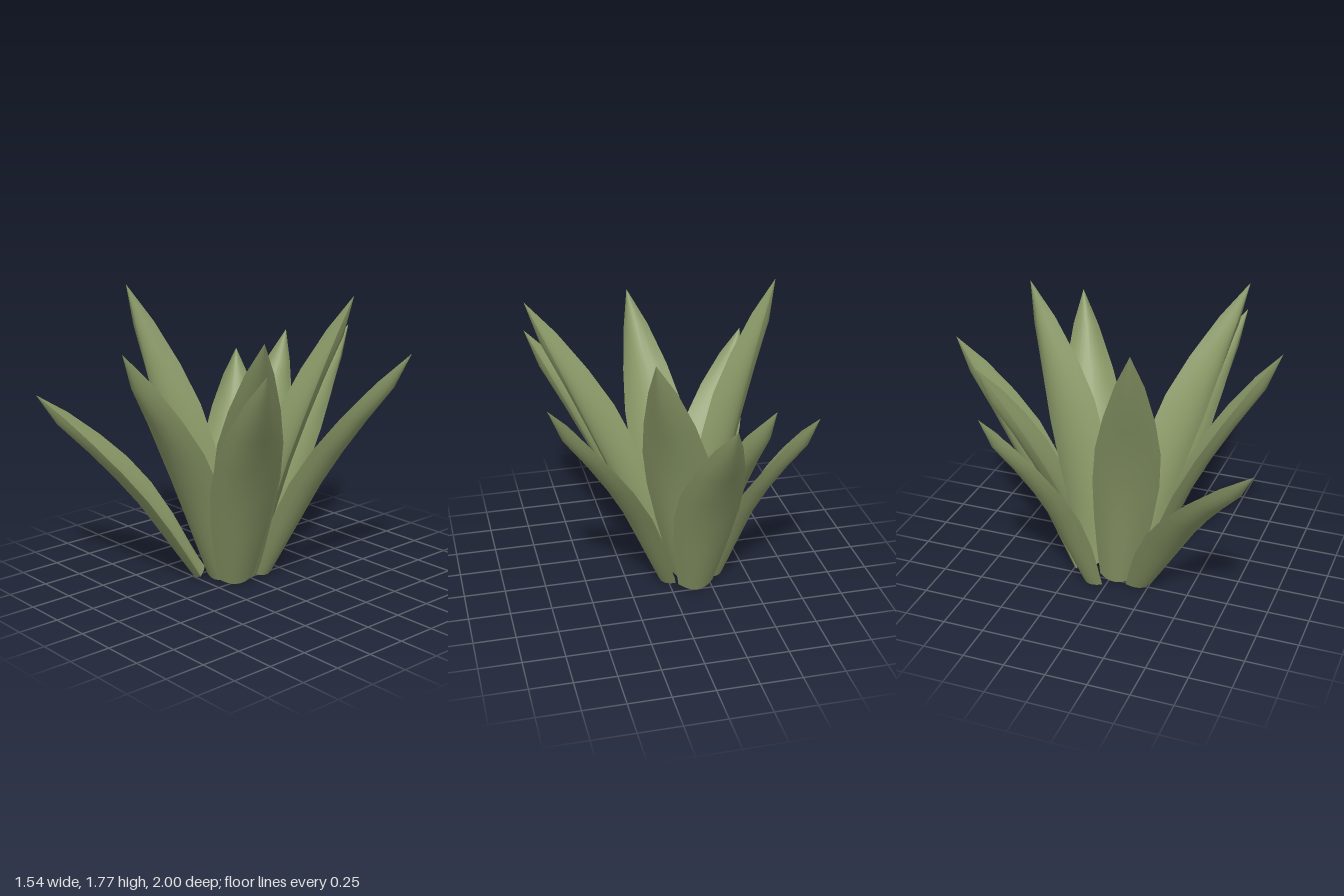
import * as THREE from 'three';

// Leaf stations: [position along leaf, half width, keel depth, inner depth, inward bow]
const STATIONS = [
  [0, 0.11, 0.055, -0.03, 0],
  [0.1, 0.14, 0.072, 0.005, 0.032],
  [0.24, 0.175, 0.09, 0.04, 0.073],
  [0.4, 0.198, 0.094, 0.054, 0.102],
  [0.55, 0.19, 0.094, 0.058, 0.104],
  [0.7, 0.147, 0.088, 0.058, 0.085],
  [0.86, 0.08, 0.078, 0.054, 0.05],
  [1, 0, 0, 0, 0],
];
const ACROSS = 8;
const ROOT_HEIGHT = 0.03;

// One skin of the leaf: a strip of arched cross-sections
function leafSkin(point, positions, indices, flip) {
  const start = positions.length / 3;
  const row = ACROSS + 1;
  STATIONS.forEach((s) => {
    for (let j = 0; j <= ACROSS; j++) positions.push(...point(s, (j / ACROSS) * 2 - 1));
  });
  for (let i = 0; i < STATIONS.length - 1; i++) {
    for (let j = 0; j < ACROSS; j++) {
      const a = start + i * row + j, b = a + 1, c = a + row, d = c + 1;
      const tip = i === STATIONS.length - 2;
      if (flip) indices.push(a, c, b);
      else indices.push(a, b, c);
      if (!tip) {
        if (flip) indices.push(b, c, d);
        else indices.push(b, d, c);
      }
    }
  }
}

// Fleshy trough-shaped leaf; its back faces the given angle (degrees from +x towards +z)
function leafGeometry(root, tip, facing) {
  const angle = THREE.MathUtils.degToRad(facing);
  const dir = new THREE.Vector3(Math.cos(angle), 0, Math.sin(angle));
  const side = new THREE.Vector3(0, 1, 0).cross(dir);
  const along = tip.clone().sub(root);
  const out = side.clone().cross(along).normalize();

  const skin = (column) => (s, u) =>
    root.clone().lerp(tip, s[0])
      .addScaledVector(side, s[1] * u)
      .addScaledVector(out, s[column] * (1 - u * u) - s[4])
      .toArray();
  const outer = skin(2), inner = skin(3);

  const positions = [], indices = [];
  leafSkin(outer, positions, indices, false);
  leafSkin(inner, positions, indices, true);

  // Cut end at the root
  const cap = positions.length / 3;
  for (let j = 0; j <= ACROSS; j++) {
    const u = (j / ACROSS) * 2 - 1;
    positions.push(...outer(STATIONS[0], u), ...inner(STATIONS[0], u));
  }
  for (let j = 0; j < ACROSS; j++) {
    const a = cap + j * 2;
    indices.push(a, a + 1, a + 2, a + 1, a + 3, a + 2);
  }

  const geometry = new THREE.BufferGeometry();
  geometry.setAttribute('position', new THREE.Float32BufferAttribute(positions, 3));
  geometry.setIndex(indices);
  geometry.computeVertexNormals();
  return geometry;
}

export function createModel() {
  const plant = new THREE.Group();
  plant.name = 'succulentPlant';
  const leafGreen = new THREE.MeshStandardMaterial({ color: 0x8b9a68, side: THREE.DoubleSide });
  leafGreen.name = 'leafGreen';

  // Root x, z, tip x, y, z and facing angle
  const rings = {
    innerLeaf: [
      [-0.14, -0.12, 0.2, 1.7, -0.67, -68],
      [-0.02, 0.06, 0.73, 1.655, 0.55, 34],
      [-0.11, 0.15, 0.02, 1.54, 0.94, 82],
      [-0.24, 0.05, -0.77, 1.76, 0.32, 172],
    ],
    outerLeaf: [
      [-0.15, -0.22, -0.16, 1.43, -1.0, -92],
      [-0.16, -0.15, -0.46, 1.39, -0.73, -113],
      [0.0, -0.1, 0.77, 1.45, -0.56, -14],
      [0.0, 0.12, 0.74, 1.48, 0.54, 31],
      [-0.23, 0.2, -0.76, 1.18, 1.0, 130],
      [-0.3, -0.09, -0.77, 1.24, -0.57, 218],
    ],
  };
  for (const [name, leaves] of Object.entries(rings)) {
    leaves.forEach(([rootX, rootZ, x, y, z, facing], i) => {
      const root = new THREE.Vector3(rootX, ROOT_HEIGHT, rootZ);
      const leaf = new THREE.Mesh(leafGeometry(root, new THREE.Vector3(x, y, z), facing), leafGreen);
      leaf.name = `${name}${i + 1}`;
      plant.add(leaf);
    });
  }
  return plant;
}
